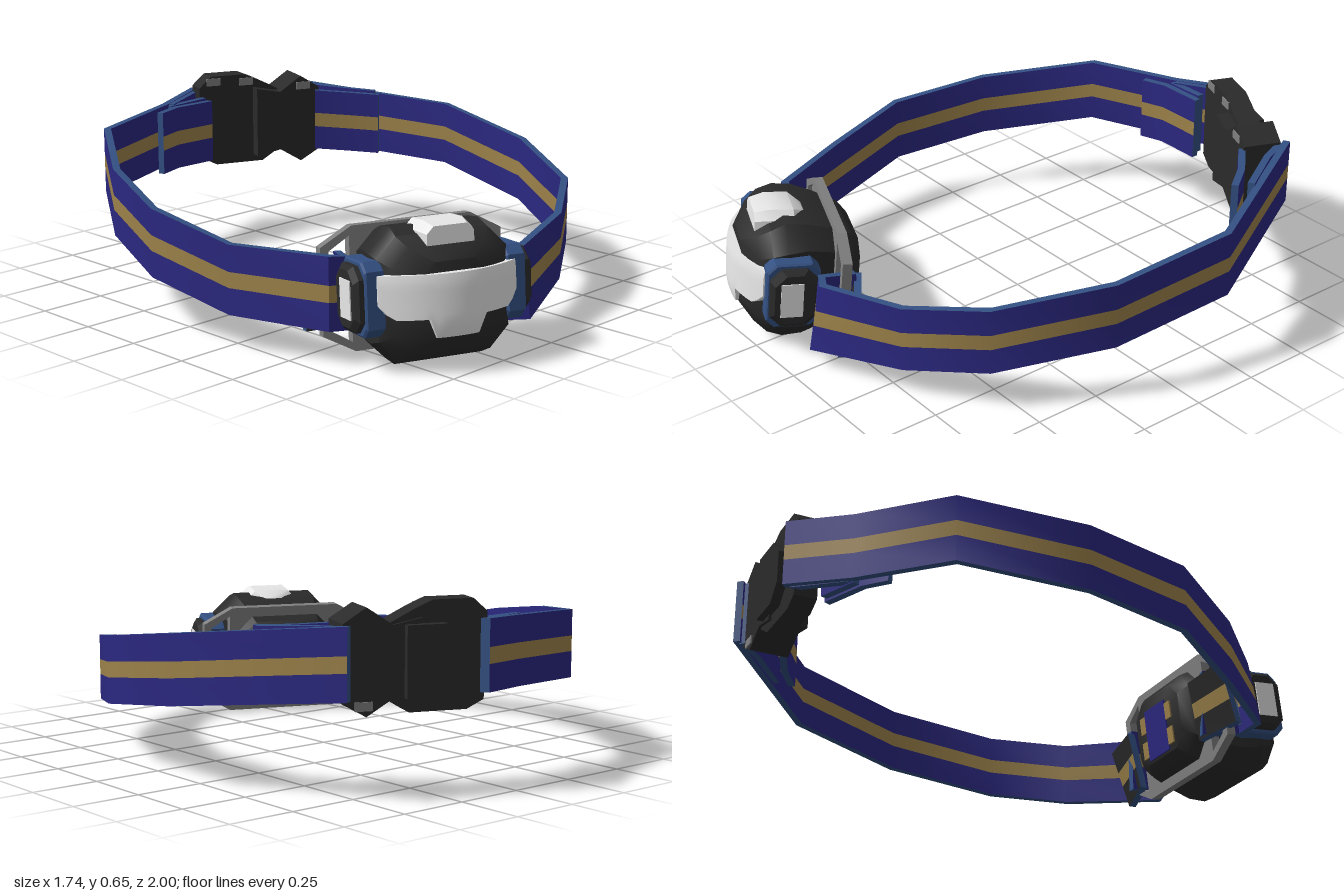
import * as THREE from 'three';
import { toCreasedNormals } from 'three/addons/utils/BufferGeometryUtils.js';

const mat = (name, color) => {
  const m = new THREE.MeshStandardMaterial({ color });
  m.name = name;
  return m;
};

export function createModel() {
  const M = {
    blue: mat('strapBlue', 0x2b2880),
    gold: mat('stripeGold', 0x9c824a),
    edge: mat('edgeBlue', 0x335082),
    dark: mat('darkPlastic', 0x2a2a2a),
    white: mat('lensWhite', 0xe8e8e8),
    grey: mat('bracketGrey', 0x808080),
  };
  const model = new THREE.Group();
  model.name = 'headlamp';

  const add = (parent, name, geo, material, x = 0, y = 0, z = 0) => {
    const m = new THREE.Mesh(geo, material);
    m.name = name;
    m.position.set(x, y, z);
    parent.add(m);
    return m;
  };

  // Skin a row of closed rings; pick(j) gives the bucket of side j
  const skin = (rings, pick = () => 0, buckets = 1, cap = 0) => {
    const out = Array.from({ length: buckets }, () => []);
    const n = rings[0].length;
    for (let i = 0; i < rings.length - 1; i++) {
      for (let j = 0; j < n; j++) {
        const k = (j + 1) % n;
        const [a, b, c, d] = [rings[i][j], rings[i][k], rings[i + 1][k], rings[i + 1][j]];
        out[pick(j)].push(...a, ...b, ...c, ...a, ...c, ...d);
      }
    }
    const last = rings[rings.length - 1];
    for (let j = 1; j < n - 1; j++) {
      out[cap].push(...rings[0][0], ...rings[0][j + 1], ...rings[0][j]);
      out[cap].push(...last[0], ...last[j], ...last[j + 1]);
    }
    const g = new THREE.BufferGeometry();
    g.setAttribute('position', new THREE.Float32BufferAttribute(out.flat(), 3));
    let start = 0;
    out.forEach((o, i) => {
      g.addGroup(start, o.length / 3, i);
      start += o.length / 3;
    });
    g.computeVertexNormals();
    return g;
  };

  // Webbing with a centre stripe, following [x, y, z, lean] points
  const ribbon = (name, pts, face = M.blue, h = 0.122, t = 0.013, s = 0.028) => {
    const rings = pts.map((p, i) => {
      const dir = (a, b) => new THREE.Vector2(b[0] - a[0], b[2] - a[2]).normalize();
      const d0 = dir(pts[Math.max(i - 1, 0)], pts[Math.max(i, 1)]);
      const d1 = dir(pts[Math.min(i, pts.length - 2)], pts[Math.min(i + 1, pts.length - 1)]);
      const d = d0.clone().add(d1).normalize();
      const w = t / Math.max(0.5, d.dot(d0));
      const lean = p[3] ?? 0;
      return [[w, -h], [w, -s], [w, s], [w, h], [-w, h], [-w, s], [-w, -s], [-w, -h]]
        .map(([u, v]) => [u + v * lean, v])
        .map(([u, v]) => [p[0] + d.y * u, p[1] + v, p[2] - d.x * u]);
    });
    const g = skin(rings, (j) => [0, 1, 0, 2, 0, 1, 0, 2][j], 3, 2);
    return add(model, name, toCreasedNormals(g, 0.8), [face, M.gold, M.edge]);
  };

  // Chamfered-rectangle sections [z, halfWidth, halfHeight, chamfer] lofted along z
  const loft = (sections, crease = 0.7) => toCreasedNormals(skin(sections.map(([z, w, h, c]) => [
    [w, -h + c, z], [w, h - c, z], [w - c, h, z], [-w + c, h, z],
    [-w, h - c, z], [-w, -h + c, z], [-w + c, -h, z], [w - c, -h, z],
  ])), crease);
  const block = (w, h, d, c, bevel) => loft([
    [-d, w - bevel, h - bevel, c], [-d + bevel, w, h, c],
    [d - bevel, w, h, c], [d, w - bevel, h - bevel, c],
  ], 0.3);
  const outline = (pts) => pts.map(([x, y]) => new THREE.Vector2(x, y));
  const plate = (pts, depth, holes = []) => {
    const s = new THREE.Shape(outline(pts));
    holes.forEach((h) => s.holes.push(new THREE.Path(outline(h))));
    return new THREE.ExtrudeGeometry(s, { depth, bevelEnabled: false });
  };

  // Strap halves, from the buckle round to the lamp
  ribbon('strapRight', [
    [0.13, 0.465, -0.98], [-0.11, 0.445, -0.88], [-0.48, 0.42, -0.775], [-0.735, 0.37, -0.4],
    [-0.855, 0.315, -0.05], [-0.805, 0.245, 0.28], [-0.675, 0.24, 0.61, 0.15],
    [-0.6, 0.23, 0.63, 0.15], [-0.52, 0.21, 0.51, 0.1],
  ]);
  ribbon('strapLeft', [
    [0.57, 0.46, -0.81], [0.855, 0.4, -0.24], [0.795, 0.335, 0.21], [0.59, 0.275, 0.58],
    [0.33, 0.225, 0.755], [-0.01, 0.19, 0.88, -0.2], [-0.08, 0.19, 0.83, -0.15], [-0.04, 0.17, 0.7],
  ]);
  // Folded ends at buckle and lamp
  ribbon('buckleLapRight', [[0.12, 0.46, -0.953], [-0.09, 0.445, -0.866]]);
  ribbon('buckleFoldRight', [[0.07, 0.45, -0.85], [-0.1, 0.44, -0.862]]);
  ribbon('buckleTailRight', [[0.08, 0.44, -0.825], [-0.1, 0.44, -0.825], [-0.2, 0.435, -0.8]]);
  ribbon('buckleFoldLeft', [[0.56, 0.455, -0.79], [0.6, 0.45, -0.68], [0.7, 0.44, -0.5]]);
  ribbon('buckleTailLeft', [[0.5, 0.45, -0.65], [0.6, 0.44, -0.55], [0.67, 0.435, -0.45]]);
  ribbon('lampTailRight', [[-0.485, 0.19, 0.525, -0.2], [-0.675, 0.2, 0.475, -0.3]], M.dark, 0.11);
  ribbon('lampTailLeft', [[-0.085, 0.155, 0.685, 0.2], [0.085, 0.155, 0.815, 0.3]], M.dark, 0.11);

  // Lamp housing, turned aside and tipped slightly up
  const lamp = new THREE.Group();
  lamp.name = 'lamp';
  lamp.position.set(-0.37, 0.228, 0.78);
  lamp.rotation.set(-0.1, -0.38, 0, 'YXZ');
  model.add(lamp);
  add(lamp, 'housing', loft([
    [-0.235, 0.15, 0.125, 0.05], [-0.2, 0.19, 0.16, 0.06], [-0.11, 0.21, 0.198, 0.065], [-0.03, 0.23, 0.222, 0.07],
    [0.04, 0.24, 0.228, 0.08], [0.095, 0.235, 0.205, 0.07], [0.14, 0.2, 0.17, 0.06], [0.185, 0.12, 0.125, 0.05],
  ]), M.dark);

  // Wrapped lens: a grid block bent round the front, lower edge stepped
  const lens = new THREE.BoxGeometry(1, 1, 1, 20, 8, 1);
  const p = lens.attributes.position;
  for (let i = 0; i < p.count; i++) {
    const x = p.getX(i) * 0.5;
    const a = Math.abs(x);
    const low = a < 0.09 ? -0.12 : a < 0.21 ? -0.055 : -0.055 + (a - 0.21) * 1.2;
    const y = THREE.MathUtils.lerp(low, 0.09, p.getY(i) + 0.5);
    const front = 0.218 - 1.4 * x * x - 3 * Math.max(0, Math.abs(y) - 0.05) ** 2;
    p.setXYZ(i, x, y, front + (p.getZ(i) > 0 ? 0 : -0.07));
  }
  add(lamp, 'lens', toCreasedNormals(lens, 0.7), M.white);
  add(lamp, 'button', loft([
    [-0.045, 0.05, 0.03, 0.02], [0, 0.1, 0.055, 0.03],
    [0.085, 0.1, 0.058, 0.03], [0.14, 0.085, 0.045, 0.025],
  ]), M.white, 0.01, 0.187, 0);

  // Side lugs with blue bands and pale outer patches
  for (const s of [-1, 1]) {
    const band = add(lamp, 'sideBand', block(0.095, 0.125, 0.035, 0.03, 0.006), M.edge, s * 0.255, 0.01, 0.03);
    band.rotation.y = s * Math.PI / 2;
    const lug = add(lamp, 'sideLug', block(0.085, 0.11, 0.025, 0.04, 0.015), M.dark, s * 0.297, 0.01, 0.03);
    lug.rotation.y = s * Math.PI / 2;
    add(lamp, 'lugPatch', new THREE.BoxGeometry(0.008, 0.13, 0.08), M.white, s * 0.322, 0.01, 0.04);
  }

  // Rear pad
  add(lamp, 'rearPad', new THREE.BoxGeometry(0.14, 0.2, 0.008), M.blue, 0.01, -0.015, -0.237);
  for (const x of [-0.078, 0.098]) {
    for (const y of [-0.065, 0.035]) {
      add(lamp, 'rearPadTab', new THREE.BoxGeometry(0.036, 0.065, 0.008), M.gold, x, y, -0.237);
    }
  }

  // Bracket frame with strap slots
  const slot = (s) => [[s * 0.23, 0.18], [s * 0.23, -0.18], [s * 0.305, -0.135], [s * 0.305, 0.135]];
  add(lamp, 'bracket', plate([
    [0.335, -0.15], [0.335, 0.15], [0.22, 0.213], [-0.22, 0.213],
    [-0.335, 0.15], [-0.335, -0.15], [-0.22, -0.213], [0.22, -0.213],
  ], 0.035, [slot(1), slot(-1)]), M.grey, 0, 0, -0.165);

  // Buckle
  const buckle = new THREE.Group();
  buckle.name = 'buckle';
  buckle.position.set(0.32, 0.455, -0.83);
  buckle.rotation.y = -0.38;
  model.add(buckle);
  add(buckle, 'buckleSocket', plate([
    [-0.24, -0.14], [-0.18, -0.17], [0.02, -0.17], [0.1, -0.12], [0.1, 0.12],
    [0.0, 0.17], [-0.06, 0.195], [-0.2, 0.195], [-0.25, 0.15],
  ], 0.085), M.dark, 0, 0, -0.035);
  add(buckle, 'buckleClip', plate([
    [-0.02, -0.14], [0.08, -0.12], [0.17, -0.175], [0.25, -0.13], [0.25, 0.13],
    [0.17, 0.18], [0.08, 0.12], [-0.02, 0.14],
  ], 0.145), M.dark, 0, 0, -0.045);
  add(buckle, 'releaseTongue', plate([
    [-0.16, -0.06], [-0.1, -0.12], [0.04, -0.12], [0.04, 0.12], [-0.1, 0.12], [-0.16, 0.06],
  ], 0.04), M.dark, 0, 0, -0.07);
  // Worn corners
  for (const [x, y, z] of [[-0.19, 0.172, 0.05], [-0.05, 0.165, 0.05], [0.18, 0.14, 0.1], [0.18, -0.14, -0.046]]) {
    add(buckle, 'wornPatch', new THREE.BoxGeometry(0.06, 0.03, 0.008), M.grey, x, y, z);
  }
  return model;
}
